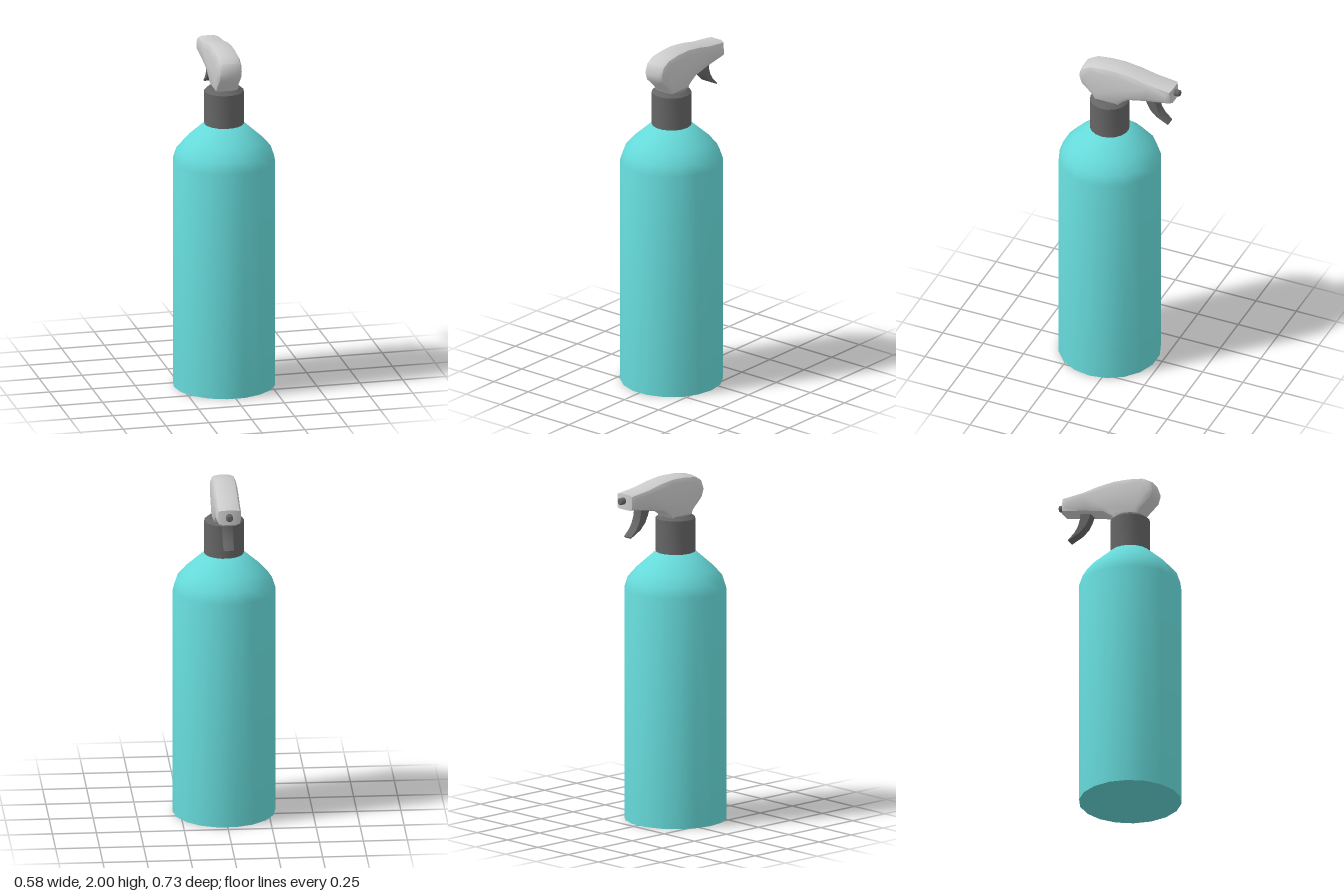
import * as THREE from 'three';
import { toCreasedNormals } from 'three/addons/utils/BufferGeometryUtils.js';

const AXIS_Z = 0.075; // bottle axis sits behind the overhanging nozzle

const teal = new THREE.MeshStandardMaterial({ color: 0x66d9d9 });
const dark = new THREE.MeshStandardMaterial({ color: 0x666666 });
const grey = new THREE.MeshStandardMaterial({ color: 0xcccccc });

const vectors = (pts) => pts.map(([a, b]) => new THREE.Vector2(a, b));

function part(name, geometry, material, crease = 0.75) {
  const mesh = new THREE.Mesh(toCreasedNormals(geometry, crease), material);
  mesh.name = name;
  return mesh;
}

// Turned part with [radius, y] profile; corners lie on the x axis
function turned(profile, sides) {
  return new THREE.LatheGeometry(vectors(profile), sides, Math.PI / 2);
}

// Side outline in [z, y], extruded across x with rounded edges
function sideProfile(outline, width, bevelSize, bevelThickness, bevelSegments) {
  const geometry = new THREE.ExtrudeGeometry(new THREE.Shape(vectors(outline)), {
    depth: width - 2 * bevelThickness,
    bevelSize, bevelThickness, bevelSegments,
    bevelOffset: -bevelSize,
  });
  geometry.translate(0, 0, bevelThickness - width / 2);
  return geometry.rotateY(-Math.PI / 2);
}

export function createModel() {
  const model = new THREE.Group();
  model.name = 'sprayBottle';

  // Bottle with rounded shoulder
  const bottle = part('bottle', turned([
    [0, 0], [0.292, 0], [0.292, 1.34], [0.272, 1.4], [0.222, 1.458], [0.112, 1.556], [0, 1.556],
  ], 18), teal);
  bottle.position.z = AXIS_Z;

  // Screw collar with chamfered top
  const collar = part('collar', turned([
    [0, 1.55], [0.113, 1.55], [0.113, 1.75], [0.09, 1.77], [0, 1.77],
  ], 18), dark, 0.6);
  collar.position.z = AXIS_Z;

  // Spray head
  const head = part('sprayHead', sideProfile([
    [0.145, 1.755], [0.165, 1.79], [0.23, 1.85], [0.247, 1.9], [0.228, 1.955], [0.175, 1.986],
    [0.09, 1.997], [0, 1.999], [-0.1, 1.986], [-0.19, 1.966], [-0.328, 1.949],
    [-0.331, 1.86], [-0.18, 1.835], [-0.07, 1.81], [-0.02, 1.776], [-0.005, 1.755],
  ], 0.14, 0.03, 0.035, 2), grey);

  // Curved trigger
  const trigger = part('trigger', sideProfile([
    [-0.15, 1.85], [-0.165, 1.805], [-0.187, 1.762], [-0.225, 1.725], [-0.297, 1.688],
    [-0.302, 1.695], [-0.262, 1.733], [-0.24, 1.768], [-0.228, 1.805], [-0.222, 1.855],
  ], 0.06, 0.003, 0.006, 1), dark);

  // Nozzle tip
  const nozzle = part('nozzle', turned([
    [0, 0], [0.02, 0], [0.02, 0.047], [0.014, 0.053], [0, 0.053],
  ], 10).rotateX(-Math.PI / 2), dark);
  nozzle.position.set(0, 1.91, -0.31);

  model.add(bottle, collar, head, trigger, nozzle);
  return model;
}
